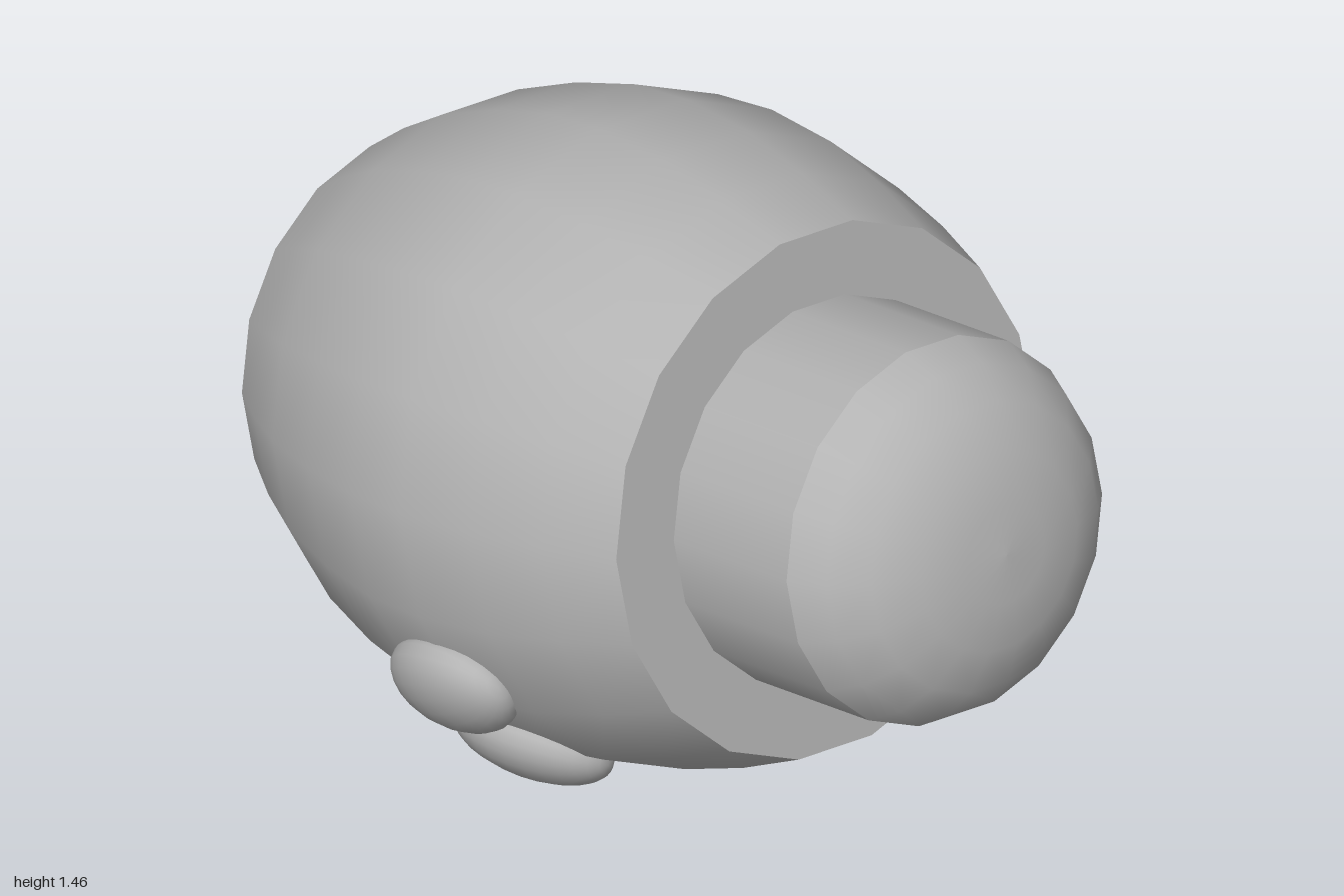
import * as THREE from 'three';

const SIDES = 18;

export function createModel() {
  const model = new THREE.Group();
  model.name = 'barrelModel';
  const grey = new THREE.MeshStandardMaterial({ color: 0xb3b3b3 });
  grey.name = 'plain grey';

  // All parts share one tilted axis; local +y runs out through the front end.
  const axis = new THREE.Vector3(0.355, 0.242, 0.903).normalize();
  const side = new THREE.Vector3(0, 1, 0).cross(axis).normalize();
  const down = new THREE.Vector3().crossVectors(side, axis);
  const body = new THREE.Group();
  body.name = 'body';
  body.quaternion.setFromRotationMatrix(new THREE.Matrix4().makeBasis(side, axis, down));
  body.position.set(0.215, 0.867, 0.395);
  model.add(body);

  const add = (name, geometry, parent = body) => {
    const mesh = new THREE.Mesh(geometry, grey);
    mesh.name = name;
    parent.add(mesh);
    return mesh;
  };
  const lathe = (name, points) =>
    add(name, new THREE.LatheGeometry(points.map(([r, y]) => new THREE.Vector2(r, y)), SIDES));
  const disc = (name, r, y, facing) => {
    const ring = [[r, y], [0, y]];
    return lathe(name, facing > 0 ? ring : ring.reverse());
  };

  // Bulging barrel with flat ends
  lathe('barrelWall', [
    [0.46, -1.35], [0.54, -1.22], [0.61, -1.08], [0.67, -0.9], [0.71, -0.72],
    [0.718, -0.55], [0.697, -0.35], [0.65, -0.17], [0.59, 0],
  ]);
  disc('barrelFront', 0.59, 0, 1);
  disc('barrelBack', 0.46, -1.35, -1);

  // Plug with a straight wall and a soft dome
  lathe('plugWall', [[0.428, 0], [0.428, 0.362]]);
  lathe('plugDome', [
    [0.428, 0.362], [0.388, 0.445], [0.32, 0.51], [0.22, 0.557], [0.11, 0.577], [0, 0.582],
  ]);

  // Pair of rounded lobes low on the right flank, leaning together
  [['upperLobe', 208, 1], ['lowerLobe', 231, -1]].forEach(([name, angle, lean]) => {
    const pivot = new THREE.Group();
    pivot.name = name + 'Pivot';
    pivot.rotation.y = THREE.MathUtils.degToRad(angle);
    body.add(pivot);
    const lobe = add(name, new THREE.SphereGeometry(1, 20, 14), pivot);
    lobe.position.set(0.705, -0.58, 0);
    lobe.scale.set(0.085, 0.19, 0.135);
    lobe.rotation.x = lean * 0.3;
  });

  return model;
}
